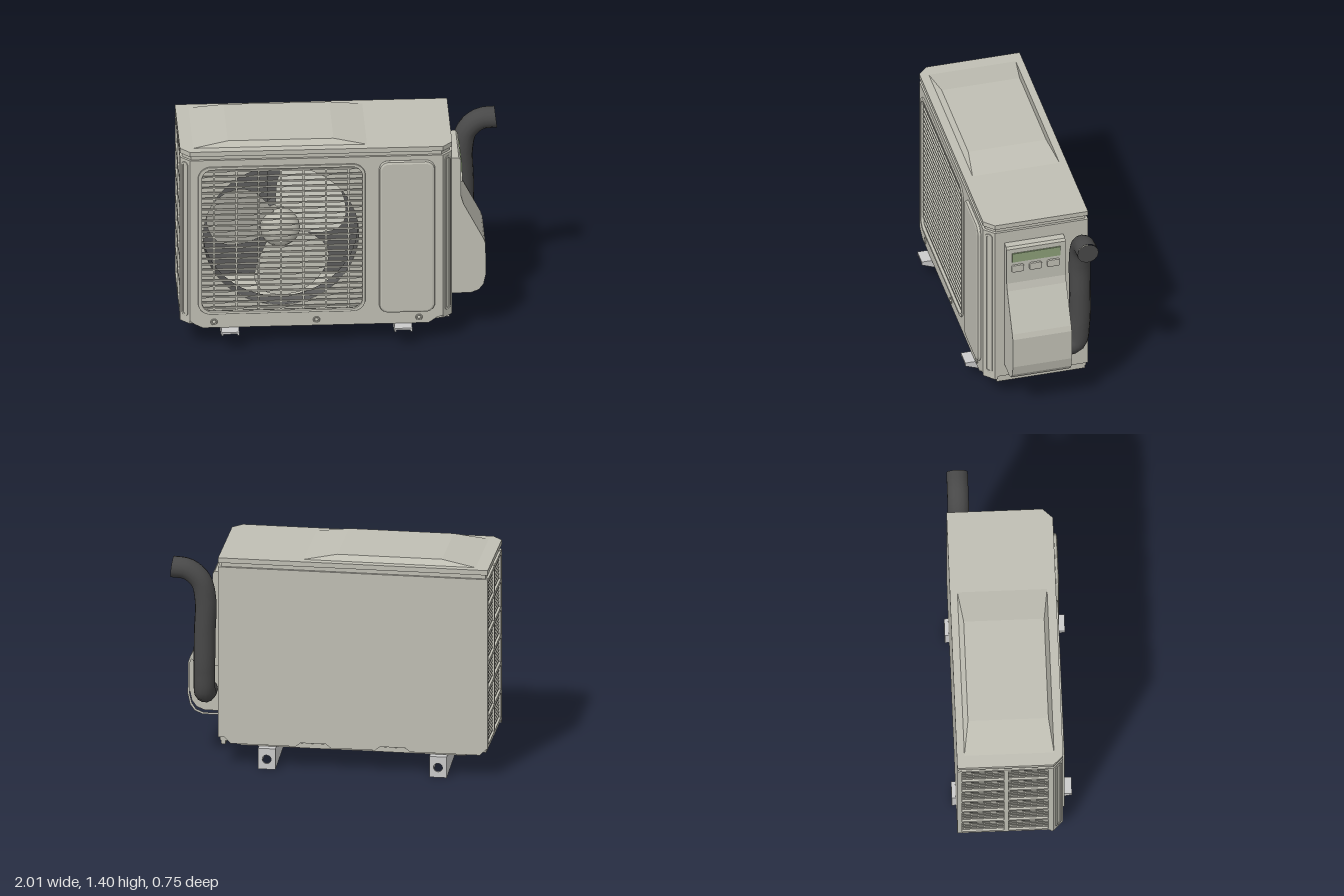
import * as THREE from 'three';

const mat = (color, side = THREE.FrontSide) => new THREE.MeshStandardMaterial({ color, side });
const shell = mat(0xc0bfb4), bladeMat = mat(0xc6c5bb, THREE.DoubleSide), dark = mat(0x5c5c5c, THREE.DoubleSide);
const rubber = mat(0x484848), green = mat(0x8b9f78), steel = mat(0xcccccc);

function mesh(parent, name, geo, material = shell, x = 0, y = 0, z = 0) {
  const m = new THREE.Mesh(geo, material);
  m.name = name;
  m.position.set(x, y, z);
  parent.add(m);
  return m;
}
// Box given by its min and max corners
function box(parent, name, a, b, material = shell) {
  const s = b.map((v, i) => v - a[i]), c = b.map((v, i) => (v + a[i]) / 2);
  return mesh(parent, name, new THREE.BoxGeometry(...s), material, ...c);
}
const poly = (pts) => new THREE.Shape(pts.map(([x, y]) => new THREE.Vector2(x, y)));
function roundRect(x0, y0, x1, y1, r) {
  const s = new THREE.Shape();
  s.absarc(x1 - r, y1 - r, r, 0, Math.PI / 2);
  s.absarc(x0 + r, y1 - r, r, Math.PI / 2, Math.PI);
  s.absarc(x0 + r, y0 + r, r, Math.PI, Math.PI * 1.5);
  s.absarc(x1 - r, y0 + r, r, Math.PI * 1.5, Math.PI * 2);
  s.closePath();
  return s;
}
function withHole(shape, hole) {
  shape.holes.push(hole);
  return shape;
}
const extrude = (shape, depth, bevel = 0) => new THREE.ExtrudeGeometry(shape, {
  depth, curveSegments: 10, bevelEnabled: bevel > 0, bevelSize: bevel, bevelThickness: bevel, bevelOffset: -bevel, bevelSegments: 2,
});
// Vertical prism from a plan outline of [x, z] points
const prism = (pts, y0, y1) => extrude(poly(pts.map(([x, z]) => [x, -z])), y1 - y0).rotateX(-Math.PI / 2).translate(0, y0, 0);
// Body plan with chamfered front corners, inset by d
const plan = (d) => [[-1 + d, -0.35 + d], [0.7 - d, -0.35 + d], [0.7 - d, 0.25 - d / 2], [0.64 - d / 2, 0.312 - d],
  [-0.94 + d / 2, 0.312 - d], [-1 + d, 0.25 - d / 2]];

function buildCabinet(g) {
  // Front panel with the opening for the grille
  const front = poly([[-0.94, 0.19], [-0.91, 0.165], [-0.86, 0.14], [0.55, 0.14], [0.6, 0.175], [0.64, 0.19], [0.64, 1.31], [-0.94, 1.31]]);
  mesh(g, 'frontPanel', extrude(withHole(front, roundRect(-0.87, 0.25, 0.14, 1.25, 0.07)), 0.02), shell, 0, 0, 0.292);
  const rim = withHole(roundRect(-0.89, 0.235, 0.155, 1.265, 0.08), roundRect(-0.865, 0.255, 0.135, 1.245, 0.065));
  mesh(g, 'grilleRim', extrude(rim, 0.012, 0.005), shell, 0, 0, 0.306);
  mesh(g, 'serviceCover', extrude(roundRect(0.24, 0.22, 0.59, 1.28, 0.06), 0.002, 0.018), shell, 0, 0, 0.315);
  for (const x of [-0.79, -0.15, 0.49]) {
    mesh(g, 'screw', new THREE.TorusGeometry(0.017, 0.005, 6, 16), shell, x, 0.18, 0.312);
    mesh(g, 'screwHead', new THREE.SphereGeometry(0.012, 12, 8), shell, x, 0.18, 0.31);
  }
  // Chamfered corner posts, mirrored about the cabinet centre
  for (const s of [1, -1]) {
    const cx = (x) => -0.15 + s * (x + 0.15);
    mesh(g, 'cornerPost', prism([[cx(0.64), 0.312], [cx(0.7), 0.25], [cx(0.7), 0.23], [cx(0.64), 0.24]], 0.17, 1.31));
    const slot = withHole(roundRect(-0.026, 0.215, 0.026, 1.29, 0.025), roundRect(-0.014, 0.23, 0.014, 1.275, 0.013));
    mesh(g, 'cornerSlot', extrude(slot, 0.003, 0.003), shell, cx(0.67), 0, 0.281).rotation.y = s * Math.PI / 4;
  }
  // Back panel with shallow notches along its lower edge
  const edge = [[-0.99, 0.19], [-0.95, 0.15]];
  for (const x of [-0.4, 0.1]) edge.push([x - 0.11, 0.15], [x - 0.08, 0.175], [x + 0.08, 0.175], [x + 0.11, 0.15]);
  edge.push([0.62, 0.15], [0.66, 0.19], [0.7, 0.19], [0.7, 1.31], [-0.99, 1.31]);
  mesh(g, 'backPanel', extrude(poly(edge), 0.015), shell, 0, 0, -0.35);
  box(g, 'rightPanel', [0.685, 0.19, -0.335], [0.7, 1.31, 0.24]);
  // Base pan and its pressed ribs
  mesh(g, 'basePan', prism(plan(0.012), 0.165, 0.2));
  for (const [a, b] of [[-0.86, -0.55], [-0.28, -0.02], [0.25, 0.55]])
    mesh(g, 'baseRib', prism([[a, -0.33], [b, -0.33], [b, 0.29], [a, 0.29]], 0.138, 0.166));
  for (const z of [-0.325, 0.27]) box(g, 'baseEdge', [-0.86, 0.14, z - 0.015], [0.56, 0.17, z + 0.015]);
  box(g, 'baseSideRib', [0.655, 0.14, -0.335], [0.685, 0.17, 0.235]);
  // Lid: recessed neck, overhanging rim and raised crown
  mesh(g, 'lidNeck', prism(plan(0.015), 1.3, 1.345));
  mesh(g, 'lid', prism(plan(0), 1.338, 1.37));
  const crown = new THREE.BoxGeometry(1, 1, 1), p = crown.attributes.position;
  for (let i = 0; i < p.count; i++) {
    const up = p.getY(i) > 0, right = p.getX(i) > 0, near = p.getZ(i) > 0;
    p.setXYZ(i, right ? (up ? -0.04 : 0.18) : (up ? -0.7 : -0.93), up ? 1.404 : 1.368,
      near ? (up ? 0.23 : 0.258) : (up ? -0.272 : -0.305));
  }
  crown.computeVertexNormals();
  mesh(g, 'lidCrown', crown);
}

function buildInterior(g) {
  box(g, 'rearCoil', [-0.96, 0.2, -0.33], [0.18, 1.3, -0.31], dark);
  box(g, 'partition', [0.17, 0.2, -0.33], [0.185, 1.3, 0.28], dark);
  // Square plate with the round fan opening, and its duct
  const hole = new THREE.Path().absarc(-0.37, 0.755, 0.485, 0, Math.PI * 2);
  const plate = withHole(poly([[-0.9, 0.22], [0.16, 0.22], [0.16, 1.28], [-0.9, 1.28]]), hole);
  mesh(g, 'fanPlate', new THREE.ExtrudeGeometry(plate, { depth: 0.01, bevelEnabled: false, curveSegments: 32 }), shell, 0, 0, 0.262);
  mesh(g, 'fanDuct', new THREE.CylinderGeometry(0.485, 0.485, 0.12, 48, 1, true).rotateX(Math.PI / 2), dark, -0.37, 0.755, 0.21);
  // Three-bladed fan
  const fan = new THREE.Group();
  fan.name = 'fan';
  fan.position.set(-0.37, 0.755, 0.14);
  g.add(fan);
  for (const deg of [45, 165, 285]) {
    const geo = new THREE.PlaneGeometry(1, 1, 10, 20), p = geo.attributes.position;
    for (let i = 0; i < p.count; i++) {
      const s = p.getX(i) * 2, t = p.getY(i) + 0.5;
      const half = 0.24 * Math.pow(Math.max(0, Math.sin(Math.PI * (0.08 + 0.92 * Math.pow(t, 1.25)))), 0.55);
      p.setXYZ(i, 0.07 + 0.4 * t, s * half, -0.08 * s * half / 0.24 + 0.02 * t);
    }
    geo.computeVertexNormals();
    mesh(fan, 'fanBlade', geo, bladeMat).rotation.z = deg * Math.PI / 180;
  }
  const hub = [[0, 0.1], [0.06, 0.095], [0.1, 0.075], [0.122, 0.04], [0.125, -0.06], [0, -0.06]].reverse();
  mesh(fan, 'fanHub', new THREE.LatheGeometry(hub.map(([r, y]) => new THREE.Vector2(r, y)), 32).rotateX(Math.PI / 2), shell);
  mesh(fan, 'fanMotor', new THREE.CylinderGeometry(0.08, 0.08, 0.2, 20).rotateX(Math.PI / 2), dark, 0, 0, -0.15);
  box(g, 'motorBracket', [-0.43, 0.2, -0.2], [-0.31, 1.3, -0.17], dark);
}

function buildGrilles(g) {
  // Front grille: many thin bars on a few uprights
  for (let i = 0; i < 26; i++) {
    const y = 0.273 + i * 0.0382, d = i === 0 || i === 25 ? 0.02 : 0;
    box(g, 'frontGrilleBar', [-0.87 + d, y - 0.005, 0.295], [0.14 - d, y + 0.005, 0.307]);
  }
  for (let i = 0; i < 7; i++) {
    const x = -0.79 + i * 0.14;
    box(g, 'frontGrilleUpright', [x - 0.006, 0.25, 0.285], [x + 0.006, 1.25, 0.299]);
  }
  // Left side grille: two by six lattice over fine slats
  for (const z of [-0.335, -0.045, 0.232]) box(g, 'sideGrilleUpright', [-1, 0.19, z - 0.015], [-0.975, 1.31, z + 0.015]);
  for (let i = 0; i <= 6; i++) {
    const y = 0.203 + i * 0.182;
    box(g, 'sideGrilleRail', [-1, y - 0.011, -0.34], [-0.975, y + 0.011, 0.24]);
    for (let k = 1; k < 8 && i < 6; k++) {
      const v = y + k * 0.182 / 8;
      box(g, 'sideGrilleSlat', [-0.988, v - 0.004, -0.34], [-0.974, v + 0.004, 0.24]);
    }
  }
}

function buildControls(g) {
  // Pipe cover: closed body, with a hollow rear edge where the pipe enters
  const low = [[0.912, 0.62], [0.915, 0.41], [0.9, 0.34], [0.87, 0.3], [0.82, 0.28], [0.695, 0.28]];
  const outline = [[0.695, 1.225], [0.745, 1.225], [0.757, 1.21], [0.76, 0.95], [0.775, 0.9], [0.9, 0.655], ...low];
  mesh(g, 'pipeCover', extrude(poly(outline), 0.3), shell, 0, 0, -0.11);
  mesh(g, 'pipeCoverTop', extrude(poly([...outline.slice(0, 6), [0.86, 0.6], [0.695, 0.6]]), 0.08), shell, 0, 0, -0.19);
  const inner = [[0.705, 0.64], [0.89, 0.64], [0.9, 0.615], [0.902, 0.41], [0.888, 0.35], [0.862, 0.312], [0.815, 0.293], [0.705, 0.293]];
  mesh(g, 'pipeCoverRim', extrude(withHole(poly([[0.695, 0.66], [0.9, 0.655], ...low]), poly(inner)), 0.08), shell, 0, 0, -0.19);
  // Display and three buttons
  box(g, 'display', [0.75, 1.112, -0.155], [0.765, 1.178, 0.155], green);
  for (const z of [0.12, 0.005, -0.11]) {
    const button = extrude(roundRect(-0.04, -0.026, 0.04, 0.026, 0.012), 0.008, 0.005).rotateY(Math.PI / 2);
    mesh(g, 'button', button, shell, 0.758, 1.062, z);
  }
  // Insulated pipe
  const path = new THREE.CatmullRomCurve3([[0.8, 0.43, -0.14], [0.8, 0.45, -0.24], [0.798, 0.6, -0.268], [0.795, 0.85, -0.272],
    [0.79, 1.06, -0.272], [0.82, 1.19, -0.272], [0.9, 1.26, -0.272], [1, 1.272, -0.272]].map((v) => new THREE.Vector3(...v)));
  mesh(g, 'pipe', new THREE.TubeGeometry(path, 40, 0.068, 14), rubber);
  mesh(g, 'pipeEnd', new THREE.CircleGeometry(0.068, 14).rotateY(Math.PI / 2), rubber, 0.999, 1.272, -0.272);
}

function buildFoot(x) {
  // Tapered channel, open below and in front, with a drilled rear plate
  const foot = new THREE.Group();
  foot.name = 'foot';
  foot.position.x = x;
  const side = poly([[-0.375, 0], [0.24, 0.06], [0.375, 0.112], [0.375, 0.135], [-0.375, 0.135]]);
  for (const s of [-0.055, 0.043])
    mesh(foot, 'footSide', extrude(side, 0.012).rotateY(-Math.PI / 2), steel, s + 0.012);
  box(foot, 'footTop', [-0.055, 0.123, -0.375], [0.055, 0.136, 0.375], steel);
  const plate = withHole(poly([[-0.055, 0], [0.055, 0], [0.055, 0.135], [-0.055, 0.135]]), new THREE.Path().absarc(0, 0.065, 0.028, 0, Math.PI * 2));
  mesh(foot, 'footPlate', extrude(plate, 0.012), steel, 0, 0, -0.375);
  return foot;
}

export function createModel() {
  const g = new THREE.Group();
  g.name = 'outdoorAirConditioner';
  buildCabinet(g);
  buildInterior(g);
  buildGrilles(g);
  buildControls(g);
  for (const x of [-0.69, 0.39]) g.add(buildFoot(x));
  return g;
}
